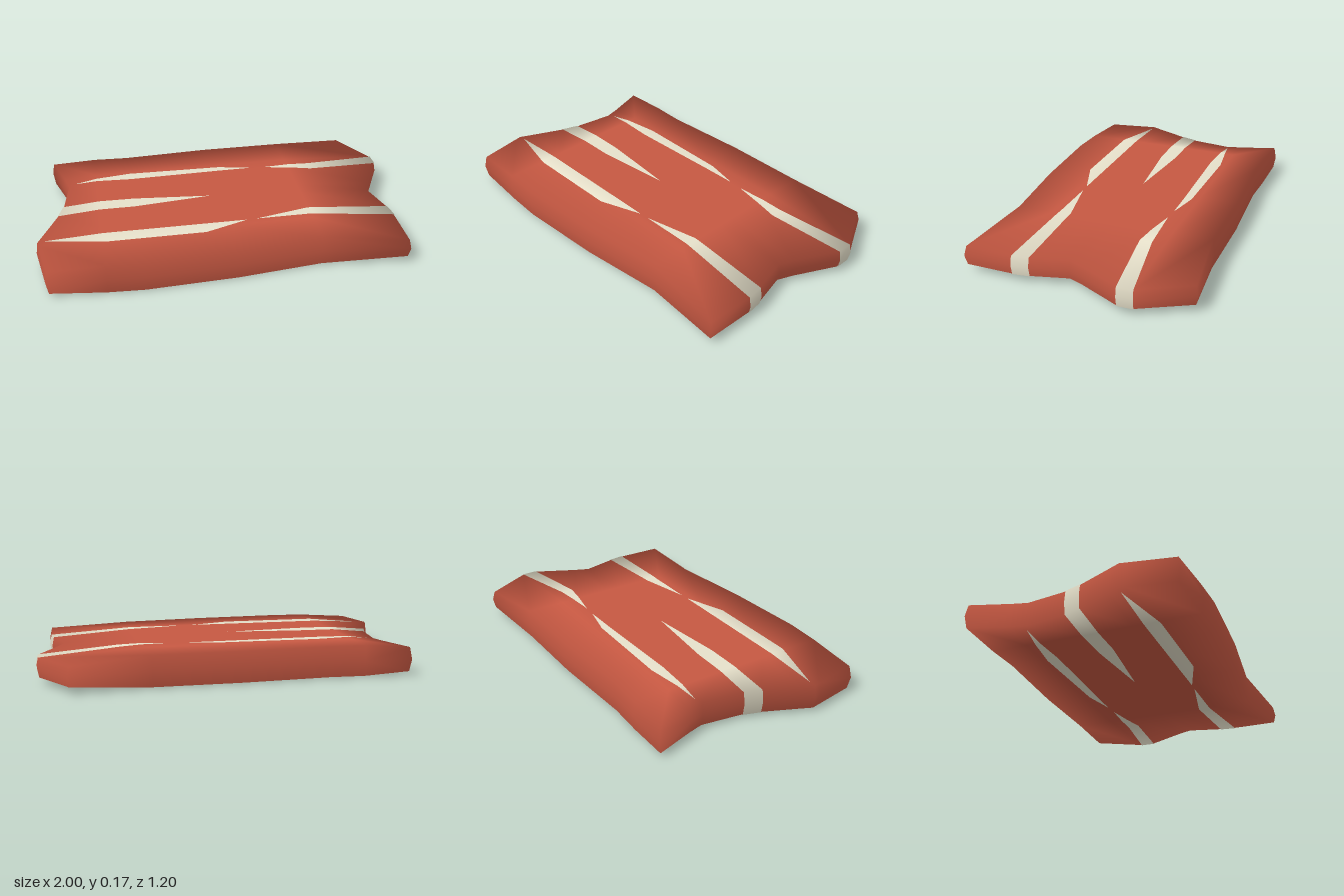
import * as THREE from 'three';

// outline of the slab: end edges as x(z), long edges as z(x)
const LEFT = [[-0.555, -0.91], [-0.27, -0.825], [-0.04, -0.86], [0.05, -0.89], [0.29, -1], [0.57, -0.955]];
const RIGHT = [[-0.605, 0.86], [-0.345, 0.995], [-0.26, 0.995], [0.03, 0.85], [0.23, 0.9], [0.32, 0.91], [0.58, 0.905]];
const BACK = [[-0.91, -0.555], [-0.47, -0.535], [0, -0.56], [0.46, -0.56], [0.86, -0.605]];
const FRONT = [[-0.955, 0.57], [-0.47, 0.597], [0, 0.575], [0.44, 0.525], [0.905, 0.582]];
const MID = 0.08, INSET = 0.01;
const { clamp } = THREE.MathUtils;

function along(line, t) {
  if (t <= line[0][0]) return line[0][1];
  for (let i = 1; i < line.length; i++) {
    const [t0, v0] = line[i - 1], [t1, v1] = line[i];
    if (t <= t1) return v0 + (v1 - v0) * (t - t0) / (t1 - t0);
  }
  return line[line.length - 1][1];
}

// point on the skin; level 1 = top, 0 = middle of the rim, -1 = underside
function skin(x, z, level, lift = 0) {
  x = clamp(x, along(LEFT, z), along(RIGHT, z));
  z = clamp(z, along(BACK, x), along(FRONT, x));
  const endX = x < 0 ? along(LEFT, z) : along(RIGHT, z);
  const startX = x < 0 ? -0.66 : 0.46;
  const wx = clamp((x - startX) / (endX - startX), 0, 1);
  const endZ = z < 0 ? along(BACK, x) : along(FRONT, x);
  const startZ = z < 0 ? -0.3 : 0.3;
  const wz = clamp((z - startZ) / (endZ - startZ), 0, 1);
  const sx = Math.sign(x), sz = Math.sign(z);
  const half = MID - (x < 0 ? 0.016 : 0.03) * wx;
  const normal = new THREE.Vector3(sx * wx, level * (1 - 0.8 * Math.max(wx, wz)), sz * wz).normalize();
  const inset = INSET * Math.abs(level);
  const position = new THREE.Vector3(x - sx * wx * inset, MID + level * half, z - sz * wz * inset);
  return { position: position.addScaledVector(normal, lift), normal };
}

// collects smooth quads, turning each so that it faces along its normals
function patchBuilder() {
  const pos = [], nor = [];
  const tri = (a, b, c) => {
    const face = b.position.clone().sub(a.position).cross(c.position.clone().sub(a.position));
    if (face.length() < 1e-9) return;
    const out = a.normal.clone().add(b.normal).add(c.normal);
    for (const v of face.dot(out) < 0 ? [a, c, b] : [a, b, c]) {
      pos.push(...v.position.toArray());
      nor.push(...v.normal.toArray());
    }
  };
  return {
    quad(a, b, c, d) { tri(a, b, c); tri(a, c, d); },
    mesh(name, material) {
      const g = new THREE.BufferGeometry();
      g.setAttribute('position', new THREE.Float32BufferAttribute(pos, 3));
      g.setAttribute('normal', new THREE.Float32BufferAttribute(nor, 3));
      const m = new THREE.Mesh(g, material);
      m.name = name;
      return m;
    },
  };
}

function makeSlab(material) {
  const cols = [-9, -0.66, -0.47, 0, 0.45, 9];
  const rows = [-9, -0.345, -0.26, -0.04, 0.04, 0.23, 0.29, 0.32, 9];
  const nc = cols.length - 1, nr = rows.length - 1;
  const at = (i, j, level) => {
    const edge = i === 0 ? LEFT : RIGHT;
    const x = i === 0 || i === nc ? along(edge, rows[j]) : cols[i];
    return skin(x, rows[j], level);
  };
  const patch = patchBuilder();
  // top and underside
  for (const s of [1, -1])
    for (let i = 0; i < nc; i++)
      for (let j = 0; j < nr; j++)
        patch.quad(at(i, j, s), at(i + 1, j, s), at(i + 1, j + 1, s), at(i, j + 1, s));
  // rim, in an upper and a lower band
  const rim = (i, j, k, l) => {
    for (const s of [1, -1]) patch.quad(at(i, j, s), at(k, l, s), at(k, l, 0), at(i, j, 0));
  };
  for (let i = 0; i < nc; i++) { rim(i, 0, i + 1, 0); rim(i, nr, i + 1, nr); }
  for (let j = 0; j < nr; j++) { rim(0, j, 0, j + 1); rim(nc, j, nc, j + 1); }
  return patch.mesh('slab', material);
}

// stations are [x, zBack, zFront]; x of 9 or -9 runs to the end and round the rim
const STRIPES = {
  backLeftStripe: [[0.3, -0.265, -0.265], [0.46, -0.275, -0.235], [0.58, -0.28, -0.215], [9, -0.345, -0.26]],
  backRightStripe: [[-0.79, -0.275, -0.275], [-0.66, -0.293, -0.265], [-0.47, -0.32, -0.255], [0.05, -0.31, -0.268], [0.23, -0.27, -0.27]],
  middleStripe: [[-9, -0.04, 0.05], [-0.66, -0.037, 0.05], [-0.47, -0.034, 0.05], [-0.05, 0.007, 0.007]],
  frontRightStripe: [[-0.96, 0.287, 0.287], [-0.66, 0.287, 0.367], [-0.64, 0.287, 0.37], [-0.13, 0.287, 0.37], [0.1, 0.287, 0.287]],
  frontLeftStripe: [[0.15, 0.285, 0.285], [0.44, 0.222, 0.285], [0.46, 0.222, 0.287], [9, 0.23, 0.32]],
};

function makeStripe(name, stations, material) {
  const patch = patchBuilder(), lift = 0.004;
  for (const s of [1, -1])
    stations.forEach(([x, a, b], i) => {
      if (i > 0) {
        const [px, pa, pb] = stations[i - 1];
        patch.quad(skin(px, pa, s, lift), skin(x, a, s, lift), skin(x, b, s, lift), skin(px, pb, s, lift));
      }
      if (Math.abs(x) > 1)
        patch.quad(skin(x, a, s, lift), skin(x, b, s, lift), skin(x, b, 0, lift), skin(x, a, 0, lift));
    });
  return patch.mesh(name, material);
}

export function createModel() {
  const red = new THREE.MeshStandardMaterial({ color: 0xc65842 });
  red.name = 'meatRed';
  const cream = new THREE.MeshStandardMaterial({ color: 0xe6e0ca });
  cream.name = 'fatCream';
  const group = new THREE.Group();
  group.name = 'meatSlice';
  group.add(makeSlab(red));
  for (const [name, stations] of Object.entries(STRIPES)) group.add(makeStripe(name, stations, cream));
  return group;
}
